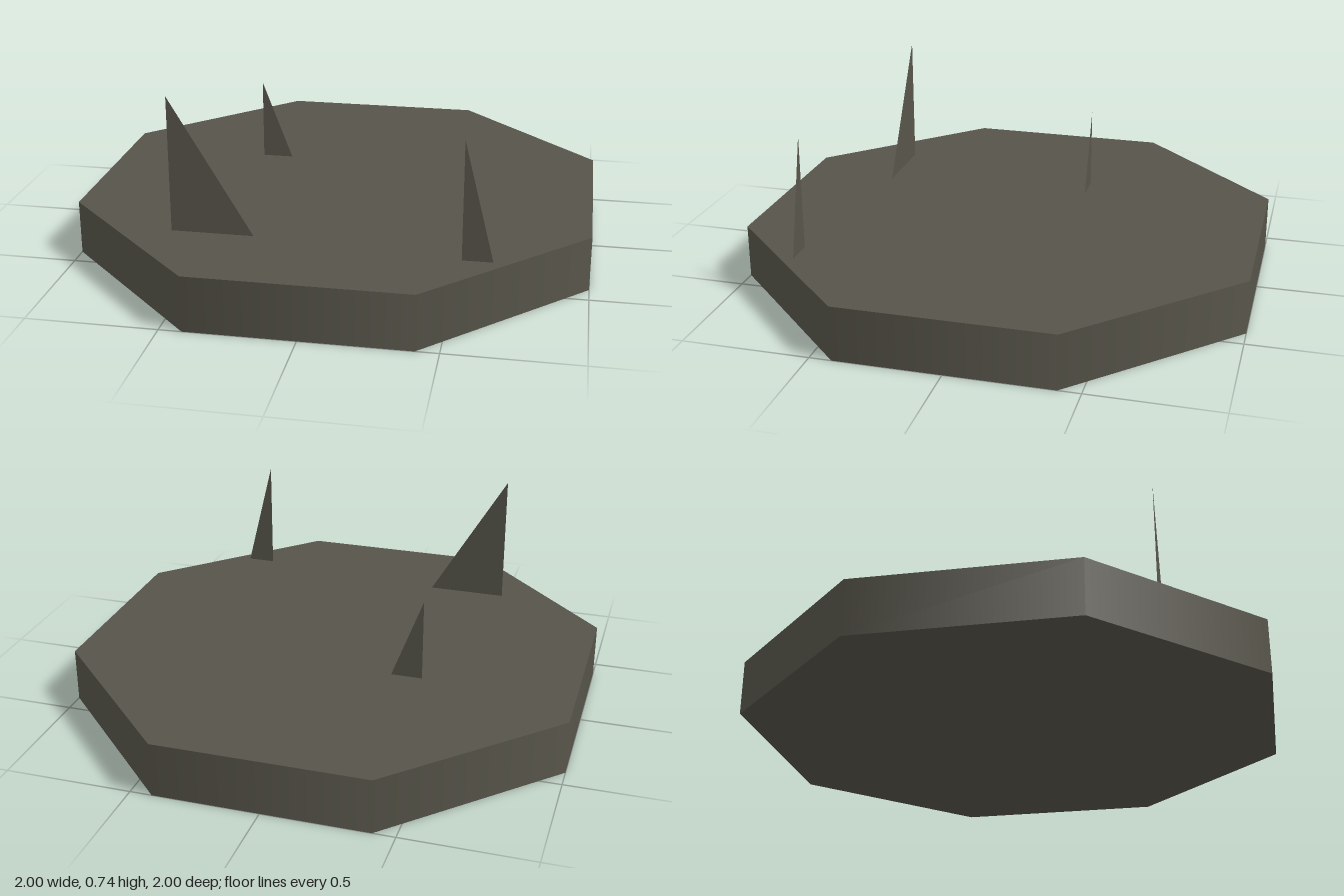
import * as THREE from 'three';

const TOP = 0.215;

export function createModel() {
  const model = new THREE.Group();
  model.name = 'spikedSlab';

  const stone = new THREE.MeshStandardMaterial({ color: 0x57554a });
  stone.name = 'dark stone';
  const blade = new THREE.MeshStandardMaterial({ color: 0x57554a, side: THREE.DoubleSide });
  blade.name = 'dark stone blade';

  // Octagonal base with flats on the axes and smoothly shaded sides
  const radius = 1 / Math.cos(Math.PI / 8);
  const base = new THREE.Mesh(
    new THREE.CylinderGeometry(radius, radius, TOP, 8, 1, false, Math.PI / 8),
    stone
  );
  base.name = 'octagonBase';
  base.position.y = TOP / 2;
  model.add(base);

  // Flat right-angled spikes: upright edge at x, width towards +x, height above the base
  function addSpike(name, x, z, width, height) {
    const shape = new THREE.Shape();
    shape.moveTo(0, 0);
    shape.lineTo(width, 0);
    shape.lineTo(0, height);
    const spike = new THREE.Mesh(new THREE.ShapeGeometry(shape), blade);
    spike.name = name;
    spike.position.set(x, TOP, z);
    model.add(spike);
  }
  addSpike('largeSpike', -0.557, 0.619, 0.316, 0.528);
  addSpike('smallSpike', -0.402, -0.237, 0.124, 0.327);
  addSpike('narrowSpike', 0.541, 0.698, 0.113, 0.456);

  return model;
}
